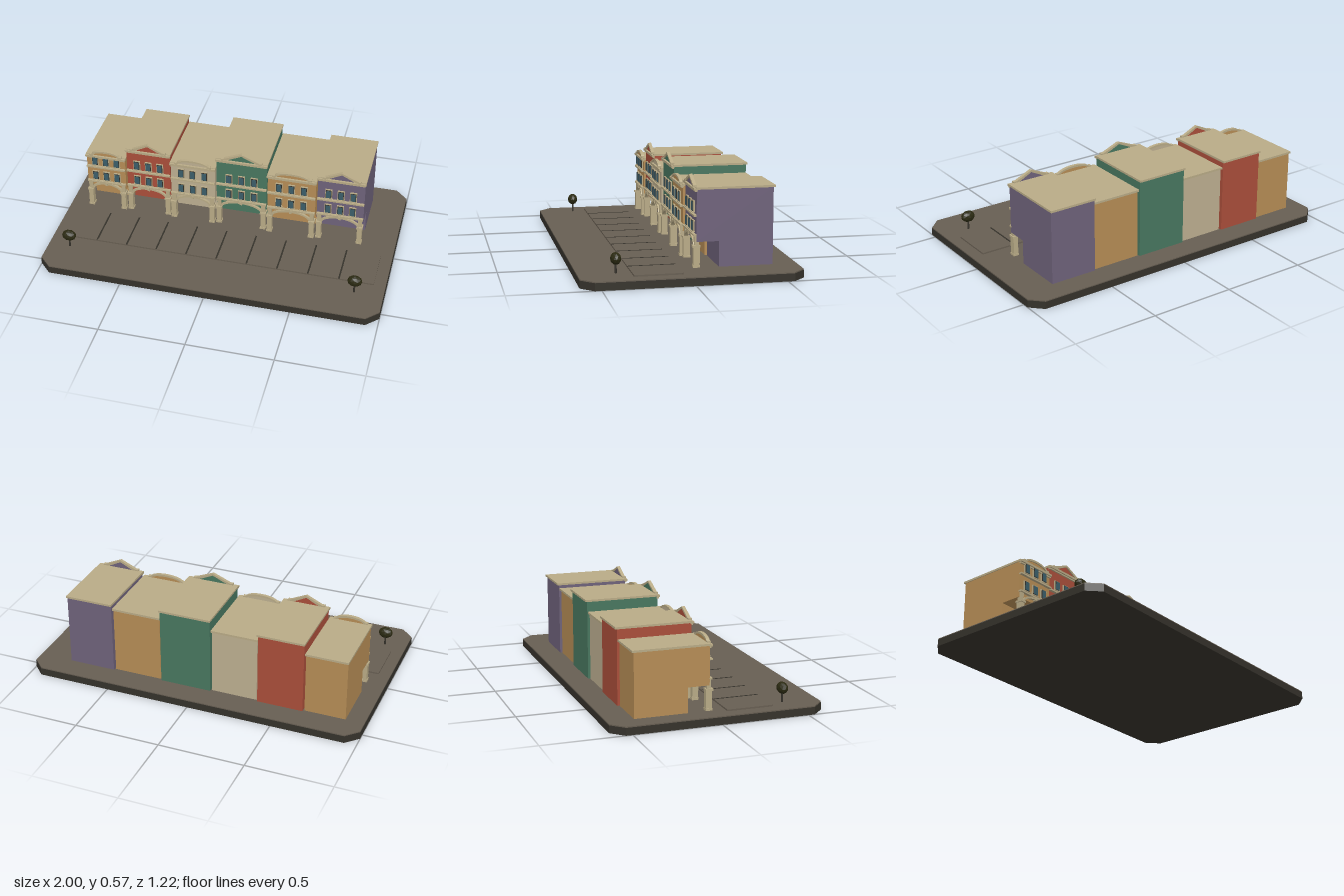
import * as THREE from 'three';

const mat = (name, color, extra) => {
  const m = new THREE.MeshStandardMaterial({ color, ...extra });
  m.name = name;
  return m;
};

export function createModel() {
  const M = {
    ochre: mat('ochre wall', 0xb58c55),
    red: mat('brick red wall', 0xa94e3a),
    cream: mat('cream wall', 0xbcae90),
    green: mat('green wall', 0x48765f),
    purple: mat('purple wall', 0x6e627a),
    trim: mat('tan trim', 0xb8aa86),
    glass: mat('window glass', 0x3b5d69),
    paving: mat('paving', 0x675e52),
    dark: mat('dark stone', 0x35322b),
    leaf: mat('foliage', 0x2b2a12, { flatShading: true }),
  };
  const root = new THREE.Group();
  root.name = 'rowOfShops';

  const add = (parent, name, geo, material, x = 0, y = 0, z = 0) => {
    const m = new THREE.Mesh(geo, material);
    m.name = name;
    m.position.set(x, y, z);
    parent.add(m);
    return m;
  };
  // Box given by its centre x, bottom and top y, back and front z
  const box = (parent, name, material, x, w, y0, y1, z0, z1) =>
    add(parent, name, new THREE.BoxGeometry(w, y1 - y0, z1 - z0), material, x, (y0 + y1) / 2, (z0 + z1) / 2);
  const extrude = (shape, depth) =>
    new THREE.ExtrudeGeometry(shape, { depth, bevelEnabled: false, curveSegments: 16 });

  // Half-ellipse panel, or a band of thickness t when t is given
  const archShape = (a, b, t) => {
    const s = new THREE.Shape();
    s.moveTo(a, 0);
    s.absellipse(0, 0, a, b, 0, Math.PI, false);
    if (t) {
      s.lineTo(-a + t, 0);
      s.absellipse(0, 0, a - t, b - t, Math.PI, 0, true);
    }
    s.closePath();
    return s;
  };
  // Triangular gable panel, or its two sloping bands
  const gableShape = (a, b, t) => {
    const p = [[-a, 0], [a, 0], [a, 0.008], [0, b], [-a, 0.008]];
    const q = [[-a, 0], [-a + t * 1.6, 0], [0, b - t], [a - t * 1.6, 0], [a, 0], [a, 0.008], [0, b], [-a, 0.008]];
    return new THREE.Shape((t ? q : p).map(([x, y]) => new THREE.Vector2(x, y)));
  };

  // Base with cut corners
  const slab = (hx, hz, c, h) => {
    const s = new THREE.Shape([[hx, hz - c], [hx - c, hz], [c - hx, hz], [-hx, hz - c], [-hx, c - hz],
      [c - hx, -hz], [hx - c, -hz], [hx, c - hz]].map(([x, y]) => new THREE.Vector2(x, y)));
    return extrude(s, h).rotateX(-Math.PI / 2);
  };
  add(root, 'base', slab(1, 0.608, 0.07, 0.042), M.dark);
  add(root, 'pavement', slab(0.998, 0.606, 0.07, 0.006), M.paving, 0, 0.042);

  // Raised parking strip with bay lines
  const parking = new THREE.Group();
  parking.name = 'parking';
  root.add(parking);
  add(parking, 'parkingSlab', slab(0.93, 0.132, 0.005, 0.009), M.paving, 0, 0.048, 0.187);
  for (let i = -4; i <= 4; i++) {
    box(parking, 'bayLine', M.dark, i * 0.182, 0.009, 0.055, 0.0585, 0.056, 0.318);
  }

  const GROUND = 0.048, SOFFIT = 0.19;

  function building(x0, x1, top, wall, gabled) {
    const g = new THREE.Group();
    g.name = 'building';
    const w = x1 - x0, ww = w - 0.008;
    g.position.set((x0 + x1) / 2, 0, gabled ? -0.045 : -0.033); // z = 0 is the facade
    root.add(g);

    // Walls: set-back ground floor, overhanging upper floors, flat roof
    box(g, 'groundFloor', wall, 0, ww, GROUND, SOFFIT, -0.425, -0.124);
    box(g, 'upperFloors', wall, 0, ww, SOFFIT, top - 0.012, -0.425, 0);
    box(g, 'roof', M.trim, 0, w, top - 0.012, top, -0.435, 0.004);
    box(g, 'cornice', M.trim, 0, w, top - 0.016, top - 0.004, -0.005, 0.016);
    box(g, 'corniceMoulding', M.trim, 0, ww, top - 0.024, top - 0.016, -0.005, 0.009);

    // String courses
    for (const y of [0.226, 0.333]) {
      box(g, 'stringCourse', M.trim, 0, ww, y - 0.005, y + 0.005, -0.004, 0.016);
    }

    // Arcade: two piers and the arch between them
    for (const s of [-1, 1]) {
      const x = s * (w / 2 - 0.021);
      box(g, 'pierFoot', M.trim, x, 0.034, GROUND, 0.06, -0.021, 0.018);
      box(g, 'pier', M.trim, x, 0.028, 0.06, 0.158, -0.019, 0.016);
      box(g, 'pierCap', M.trim, x, 0.036, 0.158, 0.17, -0.022, 0.021);
      box(g, 'pierBlock', M.trim, x, 0.024, 0.17, 0.222, -0.014, 0.009);
    }
    add(g, 'arch', extrude(archShape(w / 2 - 0.024, 0.06, 0.012), 0.022), M.trim, 0, 0.162, -0.008);
    box(g, 'keystone', M.trim, 0, 0.014, 0.205, 0.226, -0.005, 0.018);

    // Two rows of three windows
    for (const y of [0.269, 0.376]) {
      for (let i = -1; i <= 1; i++) {
        const x = i * (0.03 + 0.15 * w);
        box(g, 'windowFrame', M.trim, x, 0.041, y - 0.031, y + 0.031, -0.004, 0.008);
        box(g, 'windowSurround', M.dark, x, 0.033, y - 0.027, y + 0.027, 0.006, 0.011);
        box(g, 'windowGlass', M.glass, x, 0.027, y - 0.024, y + 0.024, 0.01, 0.014);
        box(g, 'windowSill', M.trim, x, 0.045, y - 0.034, y - 0.029, -0.004, 0.014);
      }
    }

    // Crown above the cornice
    const a = 0.36 * w, b = gabled ? 0.054 : 0.035, shape = gabled ? gableShape : archShape;
    add(g, 'crownPanel', extrude(shape(a - 0.004, b - 0.004), 0.01), wall, 0, top - 0.003, -0.005);
    add(g, 'crownBand', extrude(shape(a, b, 0.012), 0.019), M.trim, 0, top - 0.003, -0.007);
    for (const s of [-1, 1]) {
      box(g, 'crownFoot', M.trim, s * a, 0.022, top - 0.004, top + 0.007, -0.007, 0.014);
    }
  }

  const edges = [-0.894, -0.646, -0.369, -0.091, 0.221, 0.517, 0.803];
  const tops = [0.42, 0.487, 0.446, 0.515, 0.457, 0.487];
  const walls = [M.ochre, M.red, M.cream, M.green, M.ochre, M.purple];
  walls.forEach((wall, i) => building(edges[i], edges[i + 1], tops[i], wall, i % 2 === 1));

  // Trees
  for (const x of [-0.87, 0.83]) {
    const t = new THREE.Group();
    t.name = 'tree';
    t.position.set(x, GROUND, 0.4);
    root.add(t);
    add(t, 'trunk', new THREE.CylinderGeometry(0.005, 0.006, 0.06, 8), M.dark, 0, 0.03);
    add(t, 'crown', new THREE.IcosahedronGeometry(1, 1).scale(0.043, 0.034, 0.03), M.leaf, 0, 0.08);
  }
  return root;
}
